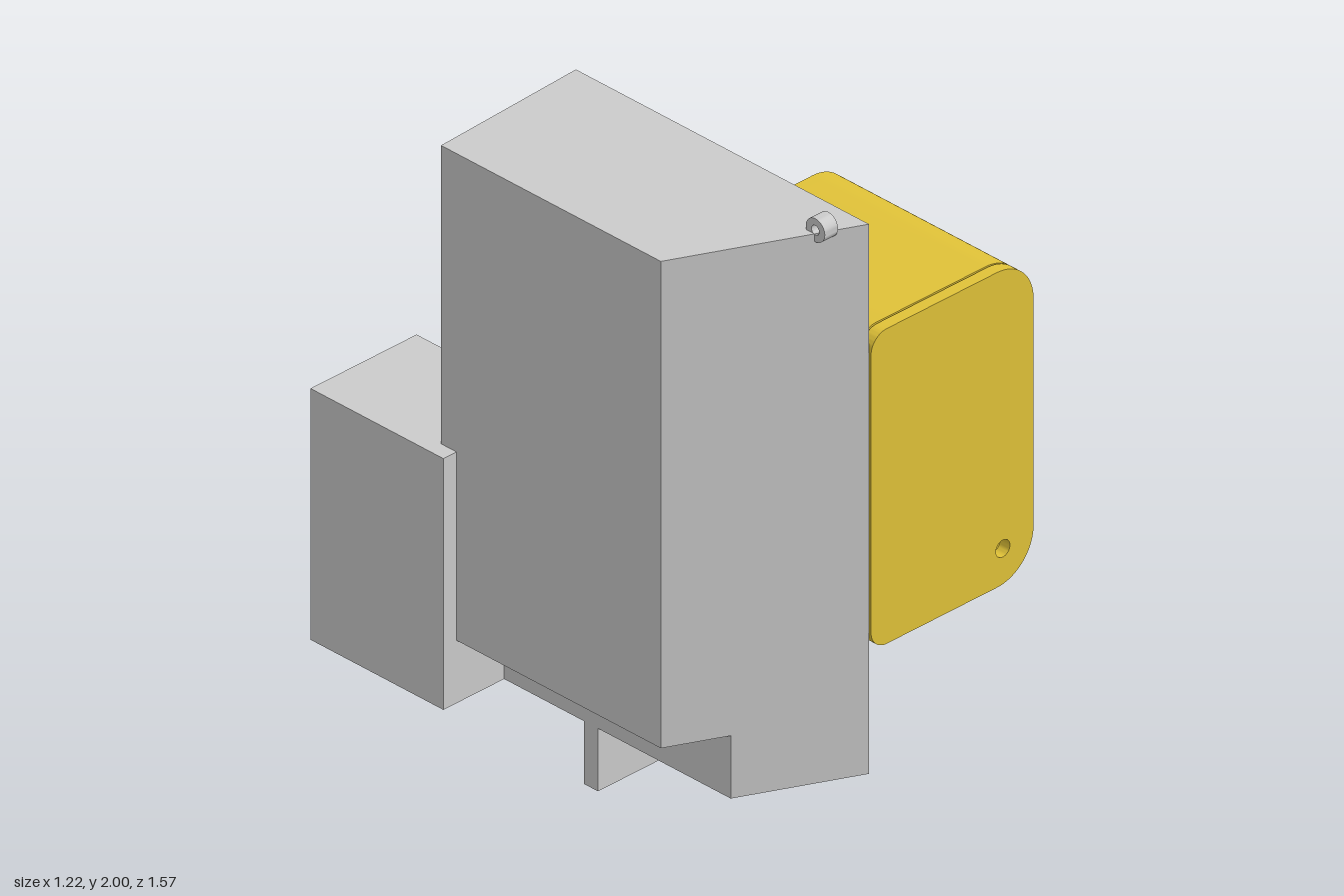
import * as THREE from 'three';
import { toCreasedNormals } from 'three/addons/utils/BufferGeometryUtils.js';

const grey = new THREE.MeshStandardMaterial({ color: 0xcccccc });
const yellow = new THREE.MeshStandardMaterial({ color: 0xe0c238 });
const blue = new THREE.MeshStandardMaterial({ color: 0x1010e0 });
const cyan = new THREE.MeshStandardMaterial({ color: 0x10b0d0 });

// Outer limits of the yellow case
const X0 = -0.015, X1 = 0.605, Y0 = 0.59, Y1 = 1.593, Z0 = 0.07, Z1 = 0.787;
const SEAM = 0.746, WALL = 0.035, RL = 0.06, RR = 0.14;

// Adds a rounded outline, counter-clockwise from the top to the bottom of the right wall
function casePoints(inset) {
  const p = new THREE.Path();
  const a = X0 + inset, b = X1 - inset, c = Y0 + inset, d = Y1 - inset;
  const rl = RL - inset, rr = RR - inset;
  p.moveTo(b, d - rr);
  p.absarc(b - rr, d - rr, rr, 0, Math.PI / 2);
  p.absarc(a + rl, d - rl, rl, Math.PI / 2, Math.PI);
  p.absarc(a + rl, c + rl, rl, Math.PI, Math.PI * 1.5);
  p.absarc(b - rr, c + rr, rr, Math.PI * 1.5, Math.PI * 2);
  return p.getPoints(12);
}

function hole(x, y, r) {
  return new THREE.Path().absarc(x, y, r, 0, Math.PI * 2, true);
}

function slot(x, y0, y1, r) {
  const p = new THREE.Path();
  p.absarc(x, y1 - r, r, 0, Math.PI);
  p.absarc(x, y0 + r, r, Math.PI, Math.PI * 2);
  p.closePath();
  return p;
}

// Extrudes a shape from z0 to z1
function slab(shape, z0, z1) {
  const g = new THREE.ExtrudeGeometry(shape, { depth: z1 - z0, bevelEnabled: false, curveSegments: 16 });
  return g.translate(0, 0, z0);
}

function add(parent, name, geometry, material) {
  const mesh = new THREE.Mesh(geometry, material);
  mesh.name = name;
  parent.add(mesh);
  return mesh;
}

// Box given by its limits
function box(parent, name, material, x0, x1, y0, y1, z0, z1) {
  const g = new THREE.BoxGeometry(x1 - x0, y1 - y0, z1 - z0);
  g.translate((x0 + x1) / 2, (y0 + y1) / 2, (z0 + z1) / 2);
  return add(parent, name, g, material);
}

// Tall cabinet: notched front section whose front and back are slanted in plan
function cabinetGeometry() {
  const outline = [[-0.56, 0.4], [-0.378, 0.4], [-0.378, 0.2], [-0.018, 0.2], [-0.018, 1.95], [-0.56, 1.95]];
  const g = slab(new THREE.Shape(outline.map(([x, y]) => new THREE.Vector2(x, y))), 0, 1);
  const pos = g.attributes.position;
  for (let i = 0; i < pos.count; i++) {
    const t = (pos.getX(i) + 0.56) / 0.542;
    pos.setZ(i, pos.getZ(i) > 0.5 ? 0.525 + 0.257 * t : -0.33 - 0.028 * t);
  }
  g.computeVertexNormals();
  return g;
}

function createCase() {
  const group = new THREE.Group();
  group.name = 'case';
  const crease = (g) => toCreasedNormals(g, Math.PI / 6);

  // Back panel with a cable slot
  const back = new THREE.Shape(casePoints(0));
  back.holes.push(slot(0.11, 1.19, 1.4, 0.045));
  add(group, 'caseBack', crease(slab(back, Z0, Z0 + WALL)), yellow);

  // Top, left and bottom walls as one open band
  const band = new THREE.Shape([...casePoints(0), ...casePoints(WALL).reverse()]);
  add(group, 'caseWalls', crease(slab(band, Z0 + WALL, SEAM - 0.003)), yellow);

  // Outer side wall with two round openings
  const ya = Y0 + RR, yb = Y1 - RR, za = Z0 + WALL, zb = SEAM - 0.003;
  const side = new THREE.Shape([[-zb, ya], [-za, ya], [-za, yb], [-zb, yb]].map(([x, y]) => new THREE.Vector2(x, y)));
  for (const y of [0.845, 1.337]) side.holes.push(hole(-0.497, y, 0.042));
  add(group, 'caseSideWall', crease(slab(side, X1 - WALL, X1).rotateY(Math.PI / 2)), yellow);

  // Lid with a small hole, and the lip that closes the seam
  const lid = new THREE.Shape(casePoints(0));
  lid.holes.push(hole(0.488, 0.705, 0.027));
  add(group, 'caseLid', crease(slab(lid, SEAM + 0.003, Z1)), yellow);
  const lip = new THREE.Shape(casePoints(0.012));
  lip.holes.push(new THREE.Path(casePoints(0.045)));
  add(group, 'caseLidLip', crease(slab(lip, SEAM - 0.02, SEAM + 0.004)), yellow);

  // Components seen through the openings
  box(group, 'greyComponent', grey, 0.25, 0.4, 1.312, 1.46, 0.475, 0.62);
  box(group, 'cyanComponent', cyan, 0.15, 0.24, 1.28, 1.48, 0.3, 0.62);
  box(group, 'blueComponent', blue, 0.15, 0.4, 0.847, 1.15, 0.3, 0.62);
  return group;
}

export function createModel() {
  const model = new THREE.Group();
  model.name = 'cabinetWithCase';

  add(model, 'cabinet', cabinetGeometry(), grey);
  box(model, 'rearBlock', grey, -0.61, -0.205, 0.2, 1, -0.787, -0.27);
  box(model, 'footPlate', grey, -0.378, -0.018, 0, 0.205, 0.04, 0.095);

  // Small ring on the front top edge
  const ring = new THREE.Shape().absarc(0, 0, 0.037, 0, Math.PI * 2);
  ring.holes.push(hole(0, 0, 0.015));
  const ringGeometry = toCreasedNormals(slab(ring, -0.025, 0.025).rotateY(Math.PI / 2), Math.PI / 6);
  add(model, 'ring', ringGeometry, grey).position.set(-0.135, 1.963, 0.718);

  model.add(createCase());
  return model;
}
